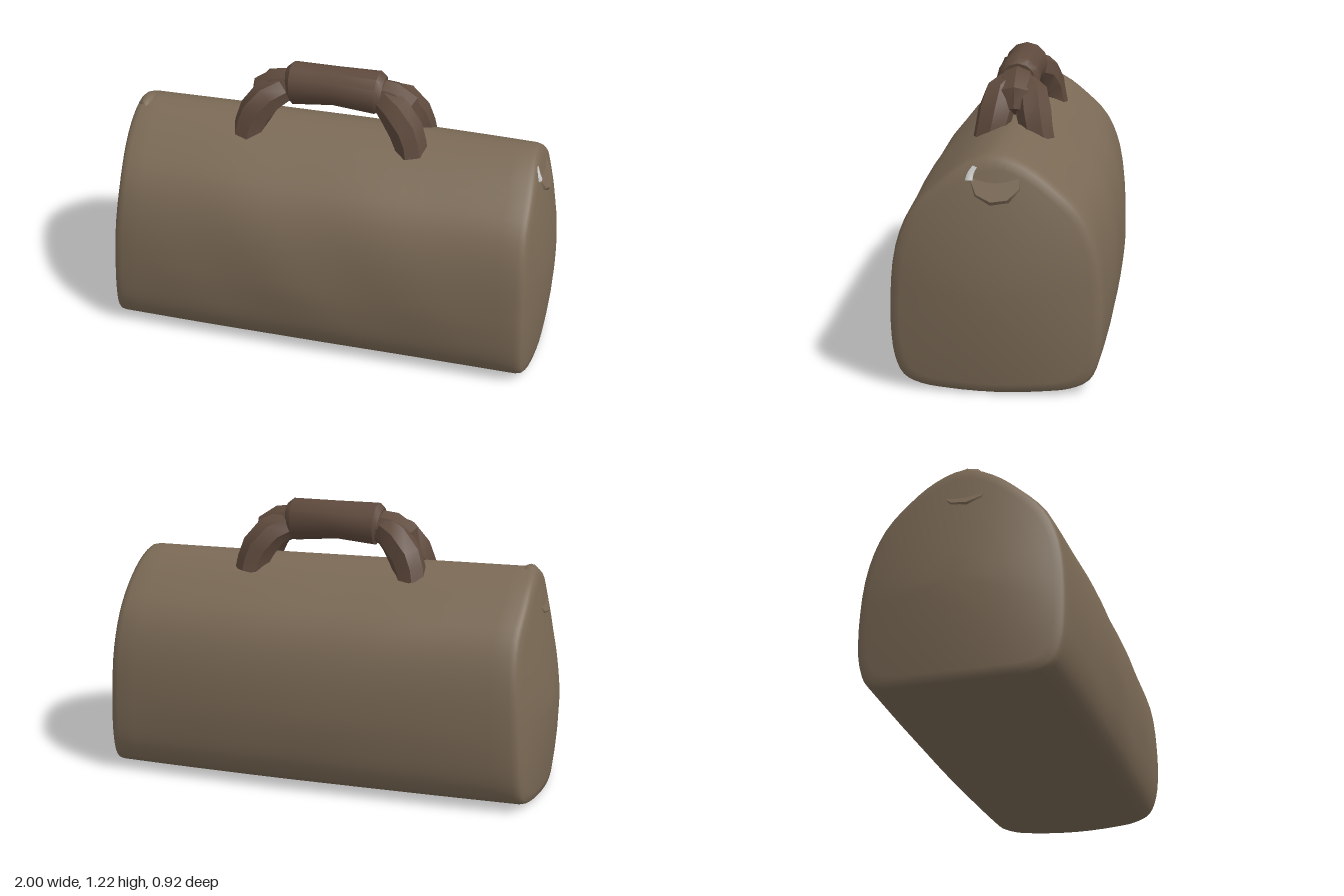
import * as THREE from 'three';
import { toCreasedNormals } from 'three/addons/utils/BufferGeometryUtils.js';

const canvasMat = new THREE.MeshStandardMaterial({ color: 0x7a6955 });
const leatherMat = new THREE.MeshStandardMaterial({ color: 0x5f4a3d });
const greyMat = new THREE.MeshStandardMaterial({ color: 0xcccccc });

// Skin a series of closed rings of points
function loft(rings, crease) {
  const n = rings[0].length, pos = [], idx = [];
  rings.forEach(r => r.forEach(p => pos.push(p.x, p.y, p.z)));
  for (let i = 0; i < rings.length - 1; i++) {
    for (let j = 0; j < n; j++) {
      const k = (j + 1) % n, a = i * n + j, b = i * n + k;
      idx.push(a, a + n, b, b, a + n, b + n);
    }
  }
  const g = new THREE.BufferGeometry();
  g.setAttribute('position', new THREE.Float32BufferAttribute(pos, 3));
  g.setIndex(idx);
  return toCreasedNormals(g, crease);
}

// Tapered, closed tube through rows of [x, y, z, radius]
function taperedTube(rows, sides) {
  const pts = rows.map(r => new THREE.Vector3(r[0], r[1], r[2]));
  const xAxis = new THREE.Vector3(1, 0, 0);
  const rings = pts.map((p, i) => {
    const t = pts[Math.min(i + 1, pts.length - 1)].clone().sub(pts[Math.max(i - 1, 0)]).normalize();
    const q = new THREE.Quaternion().setFromUnitVectors(xAxis, t);
    return Array.from({ length: sides }, (_, j) => {
      const a = (j / sides) * Math.PI * 2, r = rows[i][3];
      return new THREE.Vector3(0, r * Math.sin(a), r * Math.cos(a)).applyQuaternion(q).add(p);
    });
  });
  const centre = p => Array.from({ length: sides }, () => p.clone());
  return loft([centre(pts[0]), ...rings, centre(pts[pts.length - 1])], 0.65);
}

// Distance of a bulging end panel from the middle; the right-hand end slumps more
function endX(side, y, z) {
  const up = Math.max(0, (y - 0.4) / 0.55), down = Math.max(0, (0.4 - y) / 0.4);
  const lean = 0.1 * up ** (side < 0 ? 1.3 : 1.8) + 0.03 * down ** 2;
  const bulge = (side < 0 ? 0.1 : 0.078) * (z / 0.42) ** 2 * (0.6 + 0.4 * Math.min(1, y / 0.4));
  return Math.max(0.875, 1 - lean - bulge);
}

function bodyGeometry() {
  // Half of the cross-section as [z, y], mirrored to close it
  const half = [[0.2, 0.007], [0.31, 0.018], [0.385, 0.05], [0.428, 0.13], [0.45, 0.25], [0.457, 0.38],
    [0.432, 0.59], [0.365, 0.745], [0.25, 0.855], [0.13, 0.937]];
  const outline = [[0, 0], ...half, [0, 0.978], ...half.map(([z, y]) => [-z, y]).reverse()];
  const curve = new THREE.CatmullRomCurve3(outline.map(([z, y]) => new THREE.Vector3(0, y, z)), true);
  const section = curve.getPoints(66).slice(0, -1);
  const ring = (t, s) => section.map(p => {
    const y = (0.42 + (p.y - 0.42) * s) * (1 - 0.008 * (t + 1));
    // the ends narrow above the base, and the left-hand end swings forward
    const narrow = 0.075 * t * t * (0.3 + 0.7 * Math.min(1, y / 0.35));
    const z = p.z * s * (1 - narrow);
    const swing = 0.016 * Math.max(0, t) ** 2;
    // soft sag of the cloth between the two ends
    const sag = 0.008 * Math.sin(t * 9 + y * 7) * (1 - t * t) * Math.min(1, y * 3);
    return new THREE.Vector3(t * endX(t, y, z), y, z * (1 + sag) + swing);
  });
  const caps = [0, 0.25, 0.5, 0.75, 0.9, 0.97];
  const rings = caps.map(s => ring(-1, s));
  rings.push(ring(-0.99, 0.99));
  for (let i = -12; i <= 12; i++) rings.push(ring(0.97 * i / 12, 1));
  rings.push(ring(0.99, 0.99));
  caps.reverse().forEach(s => rings.push(ring(1, s)));
  return loft(rings, 0.8);
}

export function createModel() {
  const model = new THREE.Group();
  const add = (name, geo, mat, parent = model) => {
    const m = new THREE.Mesh(geo, mat);
    m.name = name;
    parent.add(m);
    return m;
  };

  add('bagBody', bodyGeometry(), canvasMat);

  // Padded grip, slightly pinched in the middle
  const handle = new THREE.Group();
  handle.name = 'handle';
  model.add(handle);
  add('grip', taperedTube([[-0.2, 1.12, 0, 0.075], [-0.185, 1.123, 0, 0.094], [0, 1.131, 0, 0.085],
    [0.19, 1.123, 0, 0.094], [0.215, 1.12, 0, 0.075]], 12), leatherMat, handle);

  // Each end of the grip forks into two broad legs that drop steeply onto the bag
  for (const sx of [-1, 1]) {
    const bend = [[0.17, 1.12, 0, 0.07], [0.25, 1.1, 0, 0.082], [0.31, 1.065, 0, 0.078], [0.34, 1.01, 0, 0.045]];
    const place = (rows, sz) => {
      const placed = rows.map(([x, y, z, r]) => [sx * x, y, sz * z, r]);
      return sx > 0 ? placed : placed.reverse();
    };
    add('handleBend', taperedTube(place(bend, 1), 8), leatherMat, handle);
    for (const sz of [-1, 1]) {
      const leg = [[0.235, 1.1, 0.025, 0.066], [0.285, 1.073, 0.064, 0.074], [0.335, 1.005, 0.083, 0.077],
        [0.358, 0.945, 0.095, 0.072], [0.368, 0.895, 0.106, 0.07]];
      add('handleLeg', taperedTube(place(leg, sz), 7), leatherMat, handle);
    }
  }

  // Zip end tabs folded over the top edge of both end panels
  for (const sx of [-1, 1]) {
    const tab = new THREE.Group();
    tab.name = 'endTab';
    tab.position.set(sx > 0 ? 0.905 : -0.888, 0.852, 0.012);
    tab.rotation.z = sx * 0.44;
    tab.scale.z = 1.15;
    model.add(tab);
    const patchGeo = toCreasedNormals(new THREE.CylinderGeometry(0.085, 0.11, 0.045, 9), 0.7);
    const patch = add('tabPatch', patchGeo, canvasMat, tab);
    patch.rotation.z = -sx * Math.PI / 2;
    if (sx > 0) {
      // Metal zip end curving round the front edge of the tab
      const clip = add('metalClip', new THREE.TorusGeometry(0.09, 0.016, 6, 12, 1.5), greyMat, tab);
      clip.rotation.y = -Math.PI / 2;
      clip.position.x = 0.016;
    } else {
      // Tuft of folded cloth standing up at the zip end
      const fold = add('clothFold', new THREE.SphereGeometry(0.04, 8, 6), canvasMat, tab);
      fold.position.set(-0.015, 0.096, 0);
      fold.scale.z = 1.6;
    }
  }
  return model;
}
